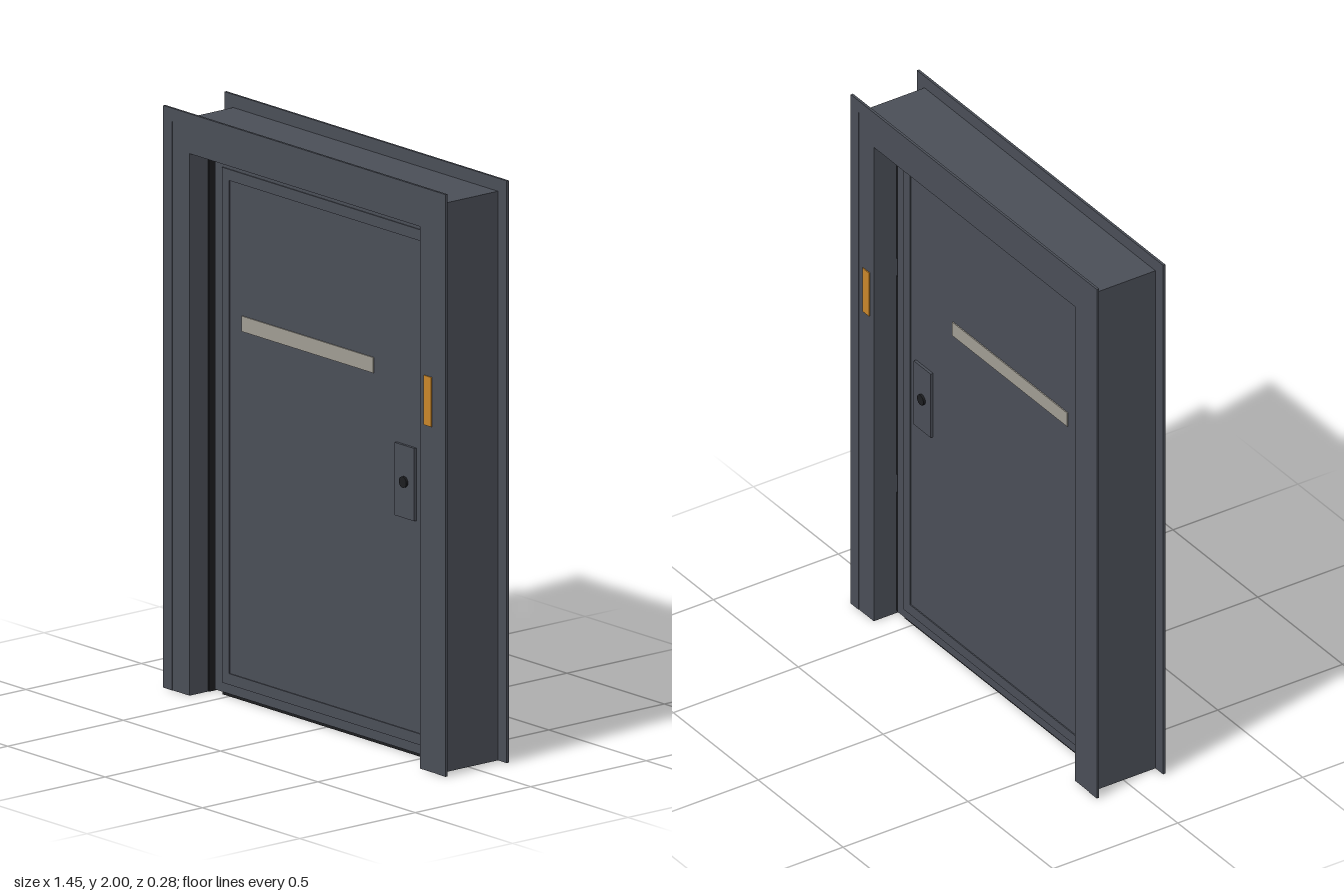
import * as THREE from 'three';

export function createModel() {
  const model = new THREE.Group();
  const mat = (name, color) => {
    const m = new THREE.MeshStandardMaterial({ color });
    m.name = name;
    return m;
  };
  const steel = mat('slate steel', 0x4a4e57);
  const rubber = mat('black rubber', 0x1c1d20);
  const pale = mat('pale grey strip', 0xa09c93);
  const amber = mat('amber panel', 0xc9862a);

  const add = (name, geometry, material) => {
    const mesh = new THREE.Mesh(geometry, material);
    mesh.name = name;
    model.add(mesh);
    return mesh;
  };
  // Box given by its limits on each axis
  const box = (name, material, x0, x1, y0, y1, z0, z1) => {
    const mesh = add(name, new THREE.BoxGeometry(x1 - x0, y1 - y0, z1 - z0), material);
    mesh.position.set((x0 + x1) / 2, (y0 + y1) / 2, (z0 + z1) / 2);
    return mesh;
  };
  const rect = (P, x0, x1, y0, y1) => {
    const p = new P();
    p.moveTo(x0, y0);
    p.lineTo(x1, y0);
    p.lineTo(x1, y1);
    p.lineTo(x0, y1);
    p.closePath();
    return p;
  };

  // Door surround: one solid arch of two jambs and a head
  const arch = new THREE.Shape();
  [[-0.68, 0], [-0.592, 0], [-0.592, 1.862], [0.592, 1.862], [0.592, 0],
    [0.68, 0], [0.68, 1.955], [-0.68, 1.955]]
    .forEach(([x, y], i) => (i ? arch.lineTo(x, y) : arch.moveTo(x, y)));
  const archGeometry = new THREE.ExtrudeGeometry(arch, { depth: 0.27, bevelEnabled: false });
  archGeometry.translate(0, 0, -0.135);
  add('frame', archGeometry, steel);

  // Door leaf
  box('doorLeaf', steel, -0.565, 0.58, 0.012, 1.855, -0.048, 0.048);
  box('bottomSeal', rubber, -0.535, 0.55, 0, 0.012, -0.04, 0.04);

  // Parts repeated on the front and the back
  for (const s of [1, -1]) {
    const slab = (name, material, x0, x1, y0, y1, za, zb) =>
      box(name, material, x0, x1, y0, y1, Math.min(s * za, s * zb), Math.max(s * za, s * zb));

    // Wall flanges around the frame
    for (const side of [1, -1]) {
      const a = side * 0.68, b = side * 0.725;
      slab('sideFlange', steel, Math.min(a, b), Math.max(a, b), 0, 1.955, 0.128, 0.137);
    }
    slab('topFlange', steel, -0.725, 0.725, 1.955, 2, 0.128, 0.137);

    // Shallow raised border on the door face
    const border = rect(THREE.Shape, -0.525, 0.54, 0.045, 1.815);
    border.holes.push(rect(THREE.Path, -0.487, 0.502, 0.083, 1.777));
    const trim = new THREE.ExtrudeGeometry(border, { depth: 0.004, bevelEnabled: false });
    trim.translate(0, 0, s > 0 ? 0.048 : -0.052);
    add('doorBorder', trim, steel);

    // Pale strip, lock plate with its keyhole knob, and amber reader
    slab('paleStrip', pale, -0.425, 0.252, 1.272, 1.325, 0.048, 0.052);
    slab('lockPlate', steel, 0.37, 0.47, 0.81, 1.06, 0.048, 0.058);
    const knob = add('lockKnob', new THREE.CylinderGeometry(0.019, 0.019, 0.012, 20), rubber);
    knob.rotation.x = Math.PI / 2;
    knob.position.set(0.42, 0.935, s * 0.06);
    slab('amberReader', amber, 0.615, 0.654, 1.187, 1.357, 0.135, 0.139);
  }

  // Hinges in the gap on the hinge side
  for (const y of [0.34, 0.935, 1.525]) {
    box('hinge', steel, -0.594, -0.564, y - 0.075, y + 0.075, -0.062, 0);
  }

  // Rubber seals; the latch side breaks around each bolt
  box('hingeSideSeal', rubber, -0.593, -0.588, 0, 1.862, 0, 0.055);
  box('headSeal', rubber, -0.592, 0.592, 1.858, 1.863, -0.045, 0.055);
  for (const [y0, y1] of [[0.012, 0.475], [0.545, 1.325], [1.395, 1.858]]) {
    box('latchSideSeal', rubber, 0.585, 0.593, y0, y1, -0.045, 0.045);
  }
  for (const y of [0.51, 1.36]) {
    box('latchBolt', steel, 0.579, 0.593, y - 0.024, y + 0.024, -0.02, 0.02);
  }
  return model;
}
